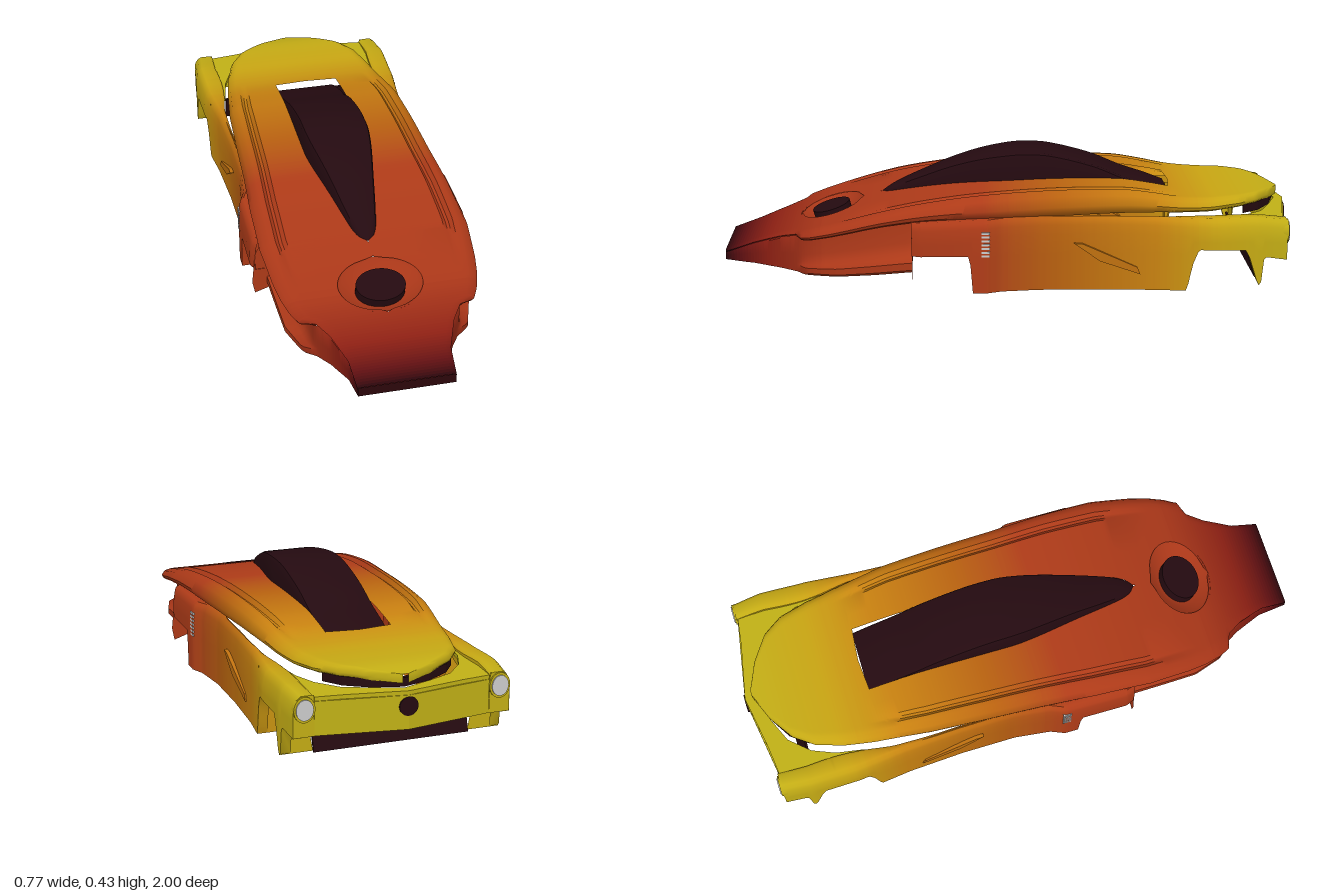
import * as THREE from 'three';
import { toCreasedNormals } from 'three/addons/utils/BufferGeometryUtils.js';

// Function of z through [z, value] pairs listed from front (+z) to back (-z)
function curve(p, smooth = true) {
  const slope = (i) => {
    const a = p[Math.max(i - 1, 0)], b = p[Math.min(i + 1, p.length - 1)];
    return (b[1] - a[1]) / (b[0] - a[0]);
  };
  return (z) => {
    if (z >= p[0][0]) return p[0][1];
    if (z <= p[p.length - 1][0]) return p[p.length - 1][1];
    let i = 0;
    while (z < p[i + 1][0]) i++;
    const d = p[i + 1][0] - p[i][0], t = (z - p[i][0]) / d;
    if (!smooth) return THREE.MathUtils.lerp(p[i][1], p[i + 1][1], t);
    const t2 = t * t, t3 = t2 * t;
    return (2 * t3 - 3 * t2 + 1) * p[i][1] + (t3 - 2 * t2 + t) * d * slope(i)
      + (3 * t2 - 2 * t3) * p[i + 1][1] + (t3 - t2) * d * slope(i + 1);
  };
}

// Paint fades from near black at the nose through red and orange to yellow
const RAMP = [[1, 0x2c060a], [0.95, 0x5c0e10], [0.85, 0x8a1e12], [0.65, 0xa83618], [0.1, 0xb03c18],
  [-0.15, 0xb8600f], [-0.5, 0xc88210], [-0.72, 0xc8a412], [-1, 0xc0b016]];
const paints = new Map();
function material(color) {
  return new THREE.MeshStandardMaterial({ color, side: THREE.DoubleSide });
}
function paint(z) {
  const key = Math.round(z * 100);
  if (!paints.has(key)) {
    let i = 0;
    while (i < RAMP.length - 2 && z < RAMP[i + 1][0]) i++;
    const t = THREE.MathUtils.clamp((z - RAMP[i][0]) / (RAMP[i + 1][0] - RAMP[i][0]), 0, 1);
    paints.set(key, material(new THREE.Color(RAMP[i][1]).lerp(new THREE.Color(RAMP[i + 1][1]), t)));
  }
  return paints.get(key);
}
const DARK = material(0x240a10), GREY = material(0xcccccc);

// Skin through half sections [[x, y], ...] at steps of z, plus its mirror image
function loft(name, z0, z1, rows, section, mat) {
  const group = new THREE.Group();
  group.name = name;
  for (const side of [1, -1]) {
    const pos = [], idx = [], mats = [], g = new THREE.BufferGeometry();
    let n = 0;
    for (let r = 0; r <= rows; r++) {
      const z = z0 + (z1 - z0) * r / rows, s = section(z);
      n = s.length;
      for (const [x, y] of s) pos.push(side * x, y, z);
      if (r === rows) break;
      g.addGroup(idx.length, (n - 1) * 6, r);
      mats.push(mat || paint(z));
      for (let k = 0; k < n - 1; k++) {
        const a = r * n + k, b = a + 1, c = a + n, d = c + 1;
        if (side > 0) idx.push(a, b, c, b, d, c);
        else idx.push(a, c, b, b, c, d);
      }
    }
    g.setAttribute('position', new THREE.Float32BufferAttribute(pos, 3));
    g.setIndex(idx);
    const mesh = new THREE.Mesh(toCreasedNormals(g, 0.7), mats);
    mesh.name = name + (side > 0 ? 'Left' : 'Right');
    group.add(mesh);
  }
  return group;
}

// Deck outline and heights
const half = curve([[1, 0.165], [0.9, 0.172], [0.8, 0.21], [0.738, 0.25], [0.728, 0.298], [0.68, 0.322],
  [0.62, 0.34], [0.55, 0.352], [0.4, 0.366], [0.2, 0.36], [0, 0.346], [-0.2, 0.337], [-0.4, 0.325], [-0.6, 0.298],
  [-0.7, 0.28], [-0.8, 0.25], [-0.87, 0.2], [-0.93, 0.11], [-0.97, 0.01]], false);
const top = curve([[1, 0.105], [0.8, 0.175], [0.6, 0.235], [0.4, 0.287], [0.2, 0.32], [0, 0.337], [-0.2, 0.345],
  [-0.4, 0.342], [-0.5, 0.328], [-0.6, 0.31], [-0.7, 0.304], [-0.8, 0.306], [-0.9, 0.304], [-0.97, 0.288]]);
const drop = curve([[1, 0.006], [0.75, 0.01], [0.7, 0.02], [0.4, 0.03], [0, 0.05], [-0.4, 0.045], [-0.6, 0.03], [-0.7, 0.027], [-0.97, 0.018]]);
const groove = curve([[0.6, 0], [0.4, 0.012], [-0.4, 0.014], [-0.6, 0]]);
const cockpit = curve([[0.45, 0], [0.43, 0.025], [0.38, 0.045], [0.2, 0.08], [0.05, 0.107], [-0.05, 0.117], [-0.57, 0.117]]);
const HOLE = { z: 0.63, rx: 0.145, rz: 0.105 };
function innerEdge(z) {
  const u = (z - HOLE.z) / HOLE.rz;
  if (Math.abs(u) < 1) return HOLE.rx * Math.sqrt(1 - u * u);
  return z < 0.45 && z > -0.57 ? cockpit(z) : 0;
}
function deckSection(z) {
  const h = half(z), t = top(z), d = drop(z), i = innerEdge(z), g = h * 0.8, w = h * 0.05, dip = groove(z);
  return [[i, t], [(i + g - w) / 2, t], [g - w, t], [g - w * 0.3, t - dip], [g + w * 0.3, t - dip], [g + w, t],
    [h * 0.9, t - d * 0.04], [h * 0.965, t - d * 0.32], [h, t - d], [h * 0.985, t - d * 1.4], [h * 0.93, t - d * 1.7], [h * 0.87, t - d * 1.7]];
}

// Lower front hull, tucked under the deck and flaring to a lip at the bottom
const hullX = curve([[1, 0.163], [0.9, 0.17], [0.8, 0.208], [0.73, 0.25], [0.6, 0.262], [0.34, 0.262]], false);
const hullLip = curve([[0.74, 0], [0.71, 0.035], [0.6, 0.06], [0.34, 0.07]], false);
const hullLow = curve([[1, 0.07], [0.9, 0.058], [0.7, 0.045], [0.5, 0.05], [0.34, 0.062]]);
function hullSection(z) {
  const w = hullX(z), l = hullLip(z), b = hullLow(z), t = top(z) - drop(z) * 1.6, h = t - b;
  return [[half(z) * 0.97, t], [w, t - 0.004], [w, b + h * 0.5], [w + l * 0.15, b + h * 0.32], [w + l * 0.4, b + h * 0.24],
    [w + l, b + h * 0.2], [w + l, b + h * 0.06], [w + l * 0.8, b], [w - 0.03, b]];
}

// Side panels with wheel arches, running into the rounded rear fenders
const sideX = curve([[0.34, 0.372], [0.31, 0.385], [0.08, 0.383], [0.03, 0.362], [-0.1, 0.346], [-0.3, 0.347],
  [-0.5, 0.358], [-0.68, 0.38], [-0.85, 0.384], [-0.955, 0.372]], false);
const sideTop = curve([[0.34, 0.25], [0.1, 0.258], [-0.2, 0.262], [-0.45, 0.262], [-0.58, 0.258], [-0.7, 0.256],
  [-0.85, 0.26], [-0.955, 0.25]]);
const sideLow = curve([[0.34, 0.135], [0.14, 0.135], [0.13, 0.003], [-0.61, 0.003], [-0.63, 0.1], [-0.65, 0.15],
  [-0.81, 0.15], [-0.825, 0.12], [-0.855, 0.025], [-0.865, 0.025], [-0.875, 0.125], [-0.955, 0.112]], false);
const sideDepth = curve([[0.34, 0.09], [0.1, 0.085], [-0.05, 0.055], [-0.15, 0.03], [-0.5, 0.035], [-0.7, 0.08], [-0.955, 0.072]]);
const shoulder = curve([[-0.5, 0], [-0.7, 1]]);
function sideSection(z) {
  const x = sideX(z), t = sideTop(z), b = sideLow(z), i = x - sideDepth(z), s = shoulder(z);
  return [[i, t - 0.01 - 0.05 * s], [i, t - 0.008], [i + 0.01, t], [x - 0.02 - 0.005 * s, t], [x - 0.008 - 0.005 * s, t - 0.01],
    [x - 0.004 - 0.002 * s, t - 0.028], [x, t - 0.06], [x, Math.min((t + b) / 2, t - 0.08)], [x, b], [x - 0.035, b]];
}

// Smoked canopy with a flat roof and upright sides
const roof = curve([[0.45, 0.276], [0.4, 0.305], [0.3, 0.347], [0.2, 0.385], [0.1, 0.413], [0, 0.43], [-0.06, 0.434],
  [-0.15, 0.428], [-0.3, 0.39], [-0.41, 0.345], [-0.5, 0.315], [-0.57, 0.288]]);
function canopySection(z) {
  const w = Math.max(cockpit(z), 0.002), t = roof(z), r = Math.min(0.015, w * 0.4);
  return [[0, t], [w - r, t], [w - r * 0.3, t - r * 0.3], [w, t - r], [w, Math.min(top(z) - 0.015, t - r)]];
}

export function createModel() {
  const model = new THREE.Group();
  const add = (name, geo, mat, x = 0, y = 0, z = 0, rx = 0) => {
    const m = new THREE.Mesh(geo, mat);
    m.name = name;
    m.position.set(x, y, z);
    m.rotation.x = rx;
    model.add(m);
    return m;
  };
  const outline = (pts) => new THREE.Shape(pts.map(([x, y]) => new THREE.Vector2(x, y)));
  const plate = (pts) => new THREE.ShapeGeometry(outline(pts));
  // Slab outlined by half a plan [x, z], mirrored and raised by a height
  const slab = (pts, height) => {
    const mirror = pts.filter(([x]) => x > 0).reverse().map(([x, z]) => [-x, z]);
    const loop = [...pts, ...mirror].map(([x, z]) => [x, -z]);
    return new THREE.ExtrudeGeometry(outline(loop), { depth: height, bevelEnabled: false }).rotateX(-Math.PI / 2);
  };

  model.add(loft('upperDeck', 1, -0.97, 200, deckSection));
  model.add(loft('frontHull', 1, 0.34, 67, hullSection));
  model.add(loft('noseFloor', 1, 0.76, 24, (z) => [[0, hullLow(z)], [hullX(z), hullLow(z)]]));
  model.add(loft('sidePanel', 0.34, -0.955, 160, sideSection));
  model.add(loft('canopy', 0.45, -0.57, 60, canopySection, DARK));
  add('noseEdge', plate([[-0.164, 0.07], [0.164, 0.07], [0.164, 0.104], [-0.164, 0.104]]), paint(1), 0, 0, 1);

  // Round recess in the front deck with its dark core
  const bowl = [[1.02, 0], [0.92, -0.012], [0.72, -0.026], [0.6, -0.034], [0.5, -0.036]].map(([r, y]) => new THREE.Vector2(r * HOLE.rx, y));
  add('deckRecess', new THREE.LatheGeometry(bowl, 40), paint(0.63), 0, 0.225, HOLE.z, 0.27).scale.z = 0.79;
  add('recessCore', new THREE.CylinderGeometry(0.085, 0.085, 0.04, 40), DARK, 0, 0.206, HOLE.z, 0.27).scale.z = 0.8;

  for (const s of [1, -1]) {
    const flip = (pts) => pts.map(([x, y]) => [s * x, y]);
    // Wheel well walls
    add('fenderFront', plate(flip([[0.26, 0.24], [0.26, 0.1], [0.33, 0.05], [0.375, 0.035], [0.384, 0.08], [0.372, 0.2], [0.35, 0.24]])), paint(0.34), 0, 0, 0.338);
    add('wheelWellBack', plate(flip([[0.25, 0.003], [0.383, 0.003], [0.383, 0.14], [0.36, 0.24], [0.27, 0.24], [0.25, 0.1]])), paint(0.13), 0, 0, 0.13);
    add('wheelWellSide', new THREE.BoxGeometry(0.006, 0.1, 0.1), paint(0.1), s * 0.253, 0.053, 0.08);
    add('rearWellFront', plate(flip([[0.28, 0.003], [0.365, 0.003], [0.365, 0.24], [0.32, 0.24]])), paint(-0.6), 0, 0, -0.608);
    add('mudguard', plate(flip([[0.27, 0.025], [0.38, 0.025], [0.38, 0.2], [0.3, 0.2]])), paint(-0.9), 0, 0, -0.86);
    add('fenderEnd', plate(flip([[0.3, 0.112], [0.372, 0.112], [0.372, 0.19], [0.36, 0.24], [0.347, 0.25], [0.302, 0.25]])), paint(-0.95), 0, 0, -0.954);
    // Side vent slats behind the front wheel
    for (let i = 0; i < 7; i++) add('ventSlat', new THREE.BoxGeometry(0.02, 0.007, 0.03), GREY, s * 0.374, 0.135 + i * 0.0135, 0.085);
    // Slanting side scoop, outlined in z and y
    const scoop = outline([[-0.22, 0.172], [-0.25, 0.17], [-0.44, 0.085], [-0.45, 0.06], [-0.31, 0.108]]);
    add('sideScoop', new THREE.ExtrudeGeometry(scoop, { depth: 0.03, bevelEnabled: false }).rotateY(-Math.PI / 2), paint(-0.3), s * 0.345 + 0.015);
    // Oval rear lamps
    add('lampRim', new THREE.CylinderGeometry(0.036, 0.036, 0.02, 24), paint(-0.95), s * 0.335, 0.205, -0.95, Math.PI / 2).scale.z = 1.2;
    add('lamp', new THREE.CylinderGeometry(0.029, 0.029, 0.024, 24), GREY, s * 0.335, 0.205, -0.952, Math.PI / 2).scale.z = 1.2;
  }

  // Pointed rear bumper, its top flange, the dark gap above it, exhaust and dark lower panel
  add('rearBumper', slab([[0, -1], [0.2, -0.968], [0.3, -0.952], [0.3, -0.925], [0.2, -0.94], [0, -0.972]], 0.115), paint(-1), 0, 0.112, 0);
  add('bumperFlange', slab([[0, -0.998], [0.2, -0.962], [0.34, -0.945], [0.34, -0.64], [0.302, -0.64], [0.285, -0.74],
    [0.252, -0.82], [0.19, -0.89], [0.1, -0.93], [0, -0.965]], 0.014), paint(-1), 0, 0.227, 0);
  add('rearGrille', slab([[0, -0.958], [0.1, -0.93], [0.18, -0.88], [0.225, -0.82], [0.215, -0.82], [0.17, -0.87], [0, -0.945]], 0.03), DARK, 0, 0.241, 0);
  add('exhaust', new THREE.CylinderGeometry(0.032, 0.032, 0.03, 24), DARK, 0, 0.19, -0.986, Math.PI / 2);
  add('rearLowerPanel', new THREE.BoxGeometry(0.54, 0.1, 0.008), DARK, 0, 0.068, -0.85, 0.3);
  return model;
}
